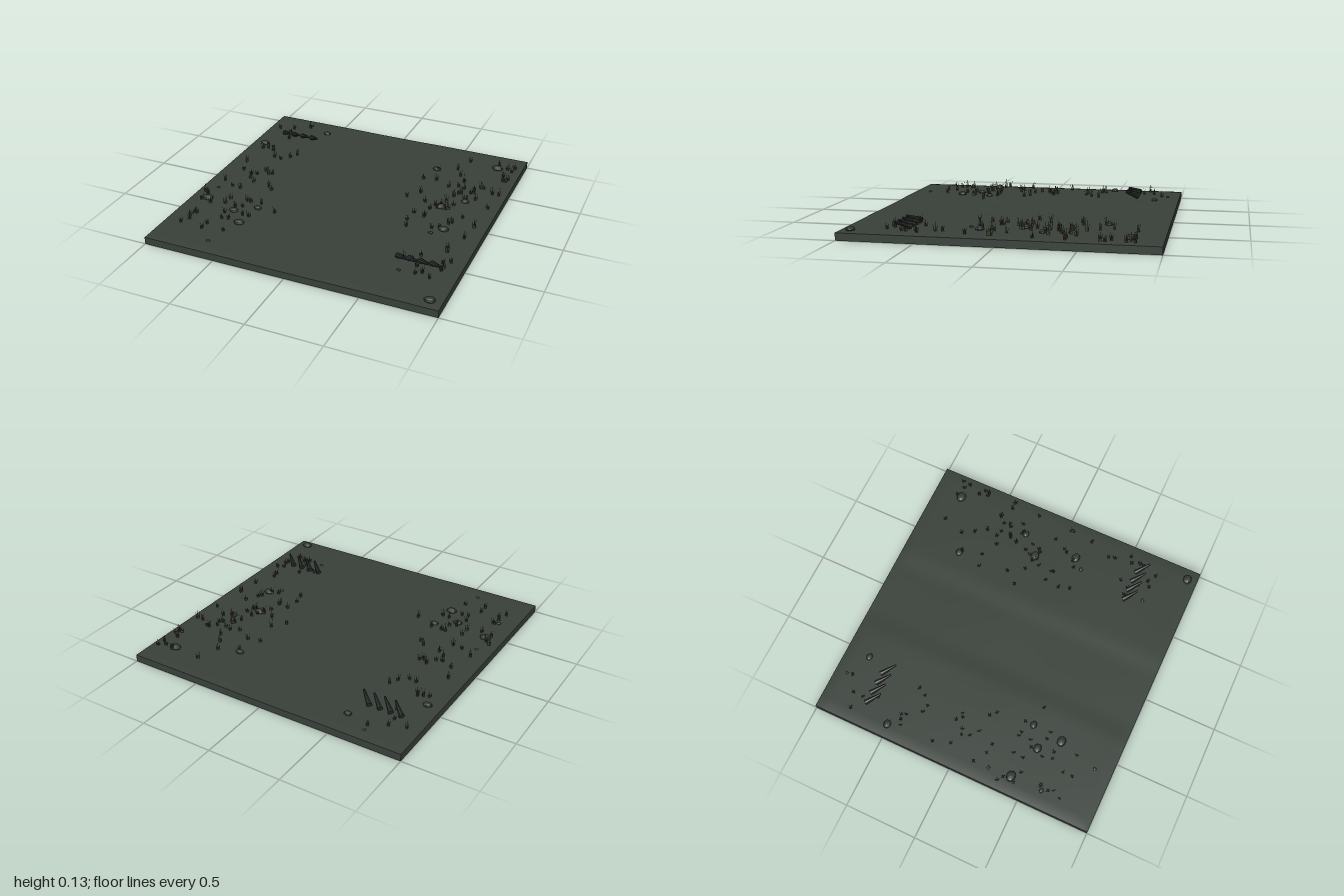
import * as THREE from 'three';
import { mergeGeometries } from 'three/addons/utils/BufferGeometryUtils.js';

// Small seeded generator so the planting is always the same
function makeRandom(seed) {
  return () => {
    seed = (seed * 1664525 + 1013904223) % 4294967296;
    return seed / 4294967296;
  };
}

// Soil height: a worn track down the middle, low rims, faint ripples
function groundHeight(x, z) {
  const bank = THREE.MathUtils.smoothstep(Math.abs(x + 0.03), 0.18, 0.34);
  const rim = THREE.MathUtils.smoothstep(Math.max(Math.abs(x), Math.abs(z)), 0.96, 1);
  return 0.047 + 0.007 * bank * (1 - 0.7 * rim) + 0.001 * Math.sin(x * 7) * Math.cos(z * 6) * (1 - rim);
}

// One tuft: two crossed upright fans of pointed blades
function tuftGeometry(x, z, height, spin, random) {
  const points = [];
  for (let plane = 0; plane < 2; plane++) {
    const a = spin + plane * Math.PI / 2;
    const c = Math.cos(a), s = Math.sin(a);
    for (const side of [-1, 0, 1]) {
      const root = side * 0.005, tip = side * (0.011 + random() * 0.006);
      const h = height * (side === 0 ? 1 : 0.65 + random() * 0.25);
      for (const [u, y] of [[root - 0.004, -0.004], [root + 0.004, -0.004], [tip, h]]) {
        points.push(u * c, y, u * s);
      }
    }
  }
  const g = new THREE.BufferGeometry();
  g.setAttribute('position', new THREE.Float32BufferAttribute(points, 3));
  g.computeVertexNormals();
  return g.translate(x, groundHeight(x, z), z);
}

export function createModel() {
  const model = new THREE.Group();
  model.name = 'groundTile';

  const material = (name, color, options = {}) => {
    const m = new THREE.MeshStandardMaterial({ color, ...options });
    m.name = name;
    return m;
  };
  const soil = material('mossySoil', 0x384039);
  const stone = material('darkStone', 0x333a38, { flatShading: true });
  const wood = material('darkWood', 0x2a2e2c, { flatShading: true });
  const grass = material('dryGrass', 0x46452a, { side: THREE.DoubleSide });

  const add = (name, geometry, mat) => {
    const mesh = new THREE.Mesh(geometry, mat);
    mesh.name = name;
    model.add(mesh);
    return mesh;
  };

  // Slab with a gently shaped top
  const slab = new THREE.BoxGeometry(2, 0.05, 2, 50, 1, 50).translate(0, 0.025, 0);
  const p = slab.attributes.position;
  for (let i = 0; i < p.count; i++) {
    if (p.getY(i) > 0.04) p.setY(i, groundHeight(p.getX(i), p.getZ(i)));
  }
  slab.computeVertexNormals();
  add('groundSlab', slab, soil);

  // Flattened stones and pebbles: x, z, radius
  const stones = [
    [0.83, -0.8, 0.04], [-0.54, -0.83, 0.027], [0.43, -0.62, 0.03], [-0.91, -0.5, 0.031],
    [0.76, -0.25, 0.028], [0.63, -0.12, 0.036], [0.74, 0.15, 0.036], [-0.88, 0.4, 0.039],
    [-0.5, 0.39, 0.028], [-0.635, 0.48, 0.033], [-0.525, 0.605, 0.037], [0.92, 0.93, 0.037],
    [-0.705, -0.915, 0.012], [-0.89, 0.24, 0.013], [0.675, 0.22, 0.017],
    [-0.88, 0.62, 0.018], [0.64, 0.705, 0.014], [-0.6, 0.88, 0.014],
  ];
  const stoneShape = new THREE.SphereGeometry(1, 10, 6);
  for (const [x, z, r] of stones) {
    const mesh = add(r > 0.02 ? 'stone' : 'pebble', stoneShape, stone);
    mesh.scale.set(r, r * 0.52, r * 0.8);
    mesh.position.set(x, groundHeight(x, z) + r * 0.15, z);
  }

  // Two rows of four slanting, tapered stakes
  const up = new THREE.Vector3(0, 1, 0);
  const lean = new THREE.Vector3(0.085, 0.04, 0.075);
  const stakeShape = new THREE.CylinderGeometry(0.007, 0.019, lean.length(), 8);
  for (const [x0, z0] of [[-0.84, -0.7], [0.583, 0.575]]) {
    for (let i = 0; i < 4; i++) {
      const stake = add('stake', stakeShape, wood);
      stake.quaternion.setFromUnitVectors(up, lean.clone().normalize());
      stake.position.set(x0 + i * 0.075, 0.069, z0).addScaledVector(lean, 0.5);
    }
  }

  // Grass patches beside the track: x range, z range, number of tufts
  const random = makeRandom(17);
  const patches = [
    [-0.96, -0.5, 0.3, 0.78, 24], [-0.9, -0.52, -0.5, 0.2, 22], [-0.96, -0.6, -0.92, -0.55, 5],
    [-0.37, -0.36, 0.4, 0.41, 1], [0.55, 0.95, -0.85, -0.3, 24], [0.56, 0.94, -0.3, 0.27, 24],
    [0.33, 0.55, -0.7, 0.25, 9], [0.58, 0.95, 0.35, 0.86, 14],
  ];
  const tufts = [];
  for (const [x0, x1, z0, z1, count] of patches) {
    for (let i = 0; i < count; i++) {
      const x = x0 + random() * (x1 - x0), z = z0 + random() * (z1 - z0);
      tufts.push(tuftGeometry(x, z, 0.045 + random() * 0.032, random() * Math.PI, random));
    }
  }
  add('grassTufts', mergeGeometries(tufts), grass);

  return model;
}
